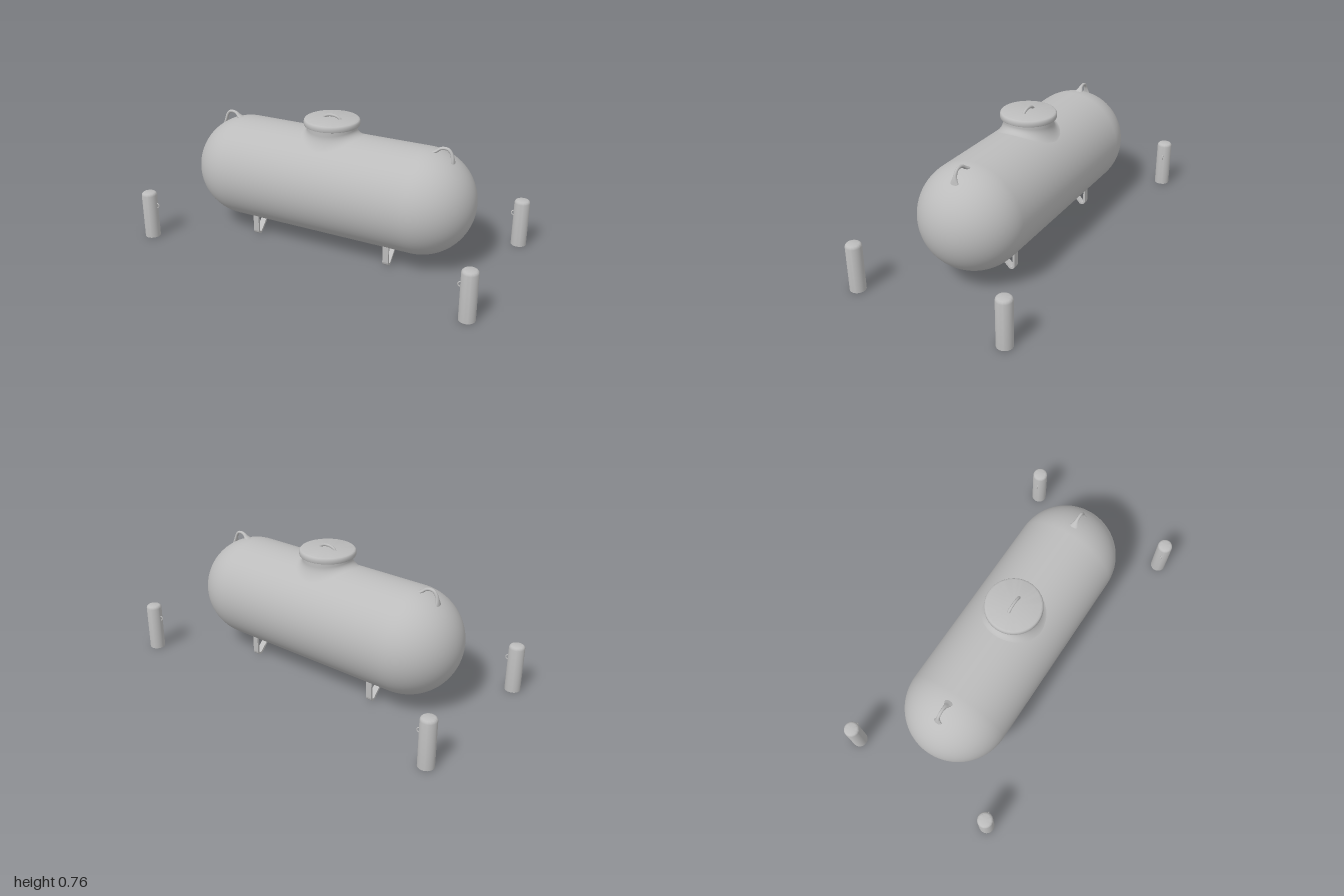
import * as THREE from 'three';
import { toCreasedNormals } from 'three/addons/utils/BufferGeometryUtils.js';

const R = 0.291, CY = 0.362, CX = -0.01, HALF = 0.54; // tank radius, axis height, centre, half straight length

export function createModel() {
  const model = new THREE.Group();
  const grey = new THREE.MeshStandardMaterial({ color: 0xbcbcbc });
  grey.name = 'lightGrey';

  const add = (parent, name, geometry, x = 0, y = 0, z = 0) => {
    const mesh = new THREE.Mesh(geometry, grey);
    mesh.name = name;
    mesh.position.set(x, y, z);
    parent.add(mesh);
    return mesh;
  };
  const lathe = (points, segments = 64) => toCreasedNormals(
    new THREE.LatheGeometry(points.map(([r, y]) => new THREE.Vector2(r, y)), segments), 0.6);
  const move = (geometry, rule) => {
    const p = geometry.attributes.position, v = new THREE.Vector3();
    for (let i = 0; i < p.count; i++) {
      rule(v.fromBufferAttribute(p, i));
      p.setXYZ(i, v.x, v.y, v.z);
    }
    geometry.computeVertexNormals();
    return geometry;
  };

  // Horizontal tank with domed ends
  const capsule = new THREE.CapsuleGeometry(R, 2 * HALF, 24, 72);
  add(model, 'tank', capsule.rotateZ(Math.PI / 2), CX, CY);

  // Manhole neck: the lower edge follows the curve of the tank and flares into it
  const neckTop = 0.705, profile = [];
  for (let i = 0; i <= 10; i++) {
    const a = (i / 10) * Math.PI / 2;
    profile.push(new THREE.Vector2(0.18 - 0.042 * Math.sin(a), 0.6 * (1 - Math.cos(a))));
  }
  profile.push(new THREE.Vector2(0.138, 1));
  const neck = move(new THREE.LatheGeometry(profile, 72), (v) => {
    const surface = CY + Math.sqrt(R * R - v.z * v.z) - 0.001;
    v.y = surface + v.y * (neckTop - surface);
  });
  add(model, 'manholeNeck', neck, CX);

  // Lid with a rounded rim
  add(model, 'lid', lathe([
    [0, 0.698], [0.148, 0.698], [0.153, 0.7], [0.155, 0.705], [0.155, 0.718],
    [0.153, 0.726], [0.149, 0.731], [0.143, 0.733], [0, 0.733],
  ]), CX);

  // Arched lid handle
  const handlePath = new THREE.CatmullRomCurve3([
    [-0.052, 0.727], [-0.043, 0.738], [-0.024, 0.747], [0, 0.75],
    [0.024, 0.747], [0.043, 0.738], [0.052, 0.727],
  ].map(([x, y]) => new THREE.Vector3(x, y, 0)));
  add(model, 'lidHandle', new THREE.TubeGeometry(handlePath, 32, 0.008, 10), CX);

  // Lifting eyes: arches whose feet widen into the domes
  for (const side of [-1, 1]) {
    const path = new THREE.CatmullRomCurve3([
      [0.59, 0.642], [0.608, 0.652], [0.626, 0.666], [0.648, 0.672],
      [0.672, 0.668], [0.688, 0.65], [0.696, 0.628], [0.702, 0.595],
    ].map(([x, y]) => new THREE.Vector3(side * x, y, 0)));
    const eye = move(new THREE.TubeGeometry(path, 40, 0.0085, 12), (v) => {
      const d = Math.hypot(Math.max(Math.abs(v.x) - HALF, 0), v.y - CY) - R;
      v.z *= 1 + 1.7 * Math.pow(THREE.MathUtils.clamp(1 - d / 0.04, 0, 1), 2);
    });
    add(model, 'liftingEye', eye, CX);
  }

  // Feet: flat strips bent into a V
  const c = [0.143, 0.031], ro = 0.023, ri = 0.011, s = Math.SQRT1_2, run = 0.107;
  const foot = new THREE.Shape();
  foot.moveTo(c[0] + ro, 0.15);
  foot.lineTo(c[0] + ro, c[1]);
  foot.absarc(c[0], c[1], ro, 0, -Math.PI * 0.75, true);
  foot.lineTo(c[0] - s * (ro + run), c[1] - s * (ro - run));
  foot.lineTo(c[0] - s * (ri + run), c[1] - s * (ri - run));
  foot.lineTo(c[0] - s * ri, c[1] - s * ri);
  foot.absarc(c[0], c[1], ri, -Math.PI * 0.75, 0, false);
  foot.lineTo(c[0] + ri, 0.15);
  foot.closePath();
  const footGeometry = toCreasedNormals(new THREE.ExtrudeGeometry(foot,
    { depth: 0.034, bevelEnabled: false, curveSegments: 12 }).translate(0, 0, -0.017), 0.6);
  for (const x of [-0.41, 0.41]) {
    for (const side of [-1, 1]) {
      add(model, 'foot', footGeometry, CX + x).rotation.y = side * Math.PI / 2;
    }
  }

  // Guard posts with rounded tops and a small chain ring facing inward
  const postGeometry = lathe([
    [0, 0], [0.043, 0], [0.043, 0.256], [0.041, 0.264],
    [0.036, 0.27], [0.029, 0.273], [0, 0.273],
  ], 40);
  const ringGeometry = new THREE.TorusGeometry(0.013, 0.0035, 8, 24);
  for (const x of [-1, 1]) {
    for (const z of [-1, 1]) {
      const post = new THREE.Group();
      post.name = 'guardPost';
      post.position.set(x * 0.957, 0, z * 0.443);
      post.rotation.y = x < 0 ? 0.24 : Math.PI + 0.24;
      add(post, 'postBody', postGeometry);
      add(post, 'chainRing', ringGeometry, 0.041, 0.19);
      model.add(post);
    }
  }
  return model;
}
